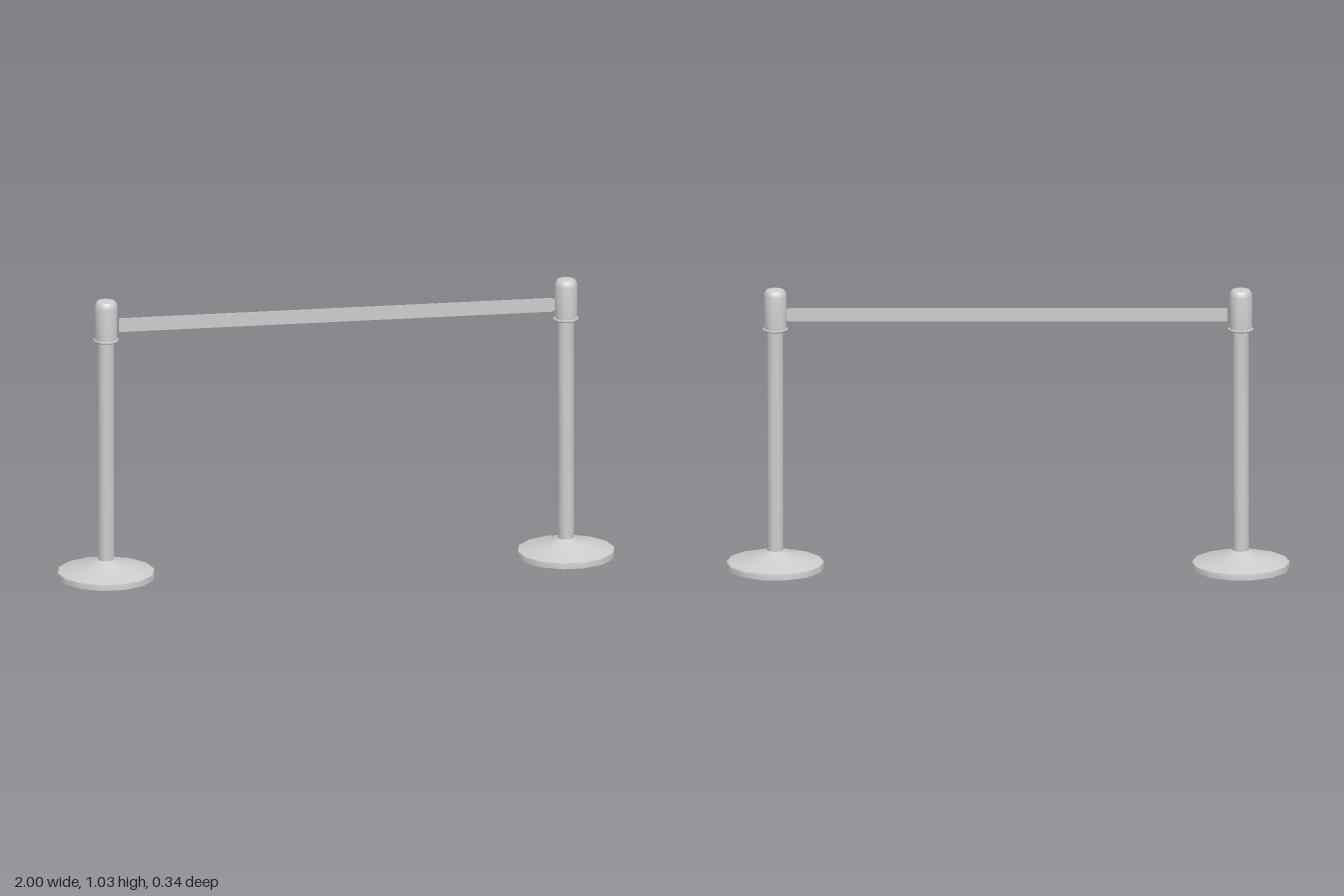
import * as THREE from 'three';
import { toCreasedNormals } from 'three/addons/utils/BufferGeometryUtils.js';

const SIDES = 14;
const POST_X = 0.825;

// Turned part: smooth around, sharp at profile corners
function turned(name, profile, material) {
  const points = profile.map(([r, y]) => new THREE.Vector2(r, y));
  const lathe = new THREE.LatheGeometry(points, SIDES, Math.PI / 2);
  const mesh = new THREE.Mesh(toCreasedNormals(lathe, 0.6), material);
  mesh.name = name;
  return mesh;
}

function createPost(name, x, metal) {
  const post = new THREE.Group();
  post.name = name;
  post.position.x = x;

  // Weighted foot with a shallow cone on top
  post.add(turned('base', [
    [0, 0], [0.175, 0], [0.175, 0.008], [0.173, 0.021],
    [0.048, 0.054], [0.029, 0.065],
  ], metal));

  // Upright tube
  post.add(turned('pole', [[0.029, 0.06], [0.029, 0.876]], metal));

  // Thin collar under the head
  post.add(turned('collar', [
    [0.028, 0.873], [0.042, 0.873], [0.045, 0.876], [0.045, 0.88], [0.04, 0.881],
  ], metal));

  // Belt head with rounded shoulder and low pointed top
  post.add(turned('head', [
    [0.04, 0.878], [0.041, 1.0], [0.038, 1.013], [0.032, 1.021], [0, 1.03],
  ], metal));
  return post;
}

export function createModel() {
  const model = new THREE.Group();
  model.name = 'beltBarrier';
  const metal = new THREE.MeshStandardMaterial({ color: 0xcccccc });
  metal.name = 'light grey metal';

  model.add(createPost('leftPost', POST_X, metal));
  model.add(createPost('rightPost', -POST_X, metal));

  // Flat belt, narrowing where it enters the left head
  const outline = new THREE.Shape();
  outline.moveTo(-0.778, 0.905);
  outline.lineTo(0.772, 0.905);
  outline.lineTo(0.79, 0.912);
  outline.lineTo(0.79, 0.948);
  outline.lineTo(0.772, 0.955);
  outline.lineTo(-0.778, 0.955);
  const beltShape = new THREE.ExtrudeGeometry(outline, { depth: 0.004, bevelEnabled: false });
  beltShape.translate(0, 0, -0.002);
  const belt = new THREE.Mesh(beltShape, metal);
  belt.name = 'belt';
  model.add(belt);

  return model;
}
